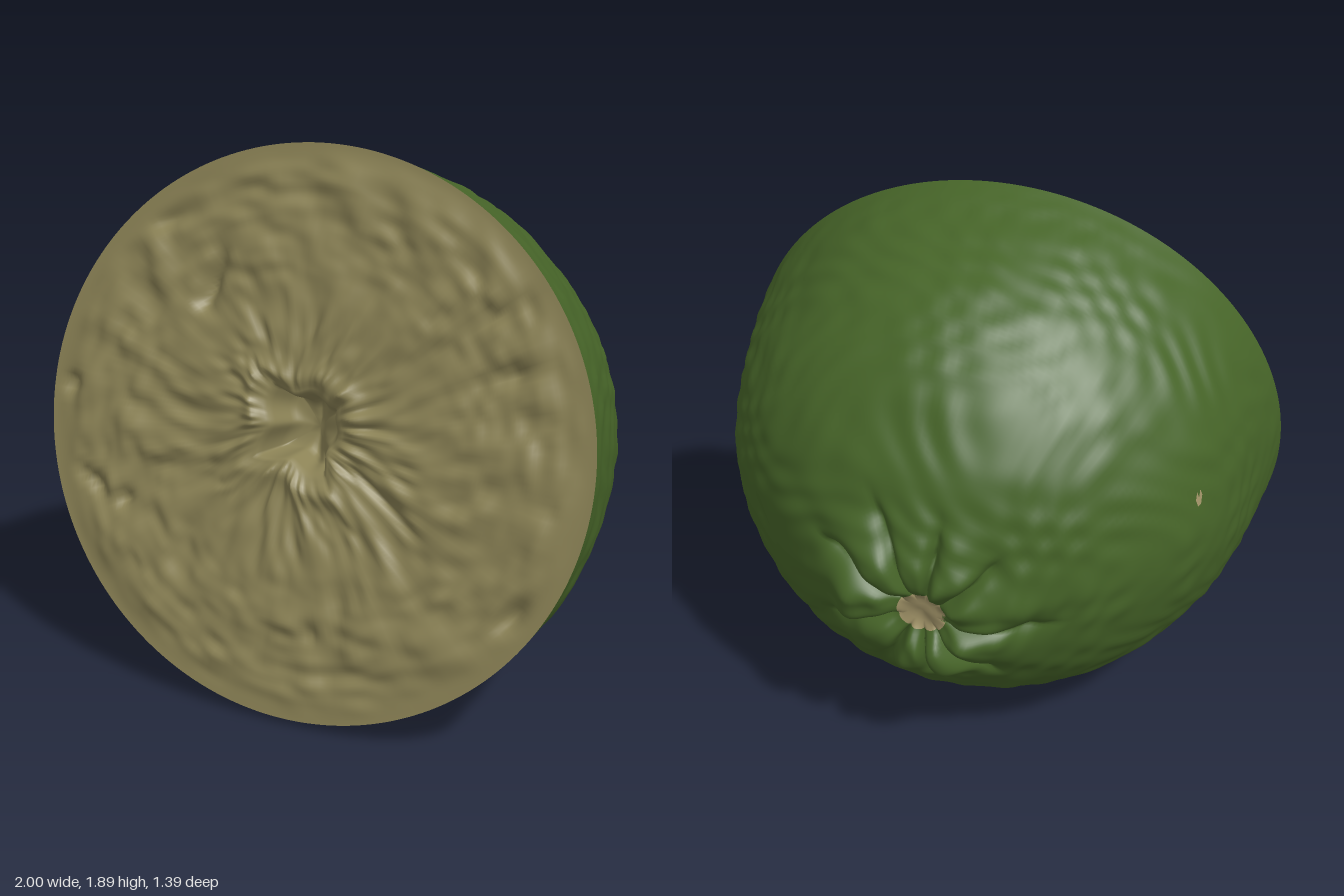
import * as THREE from 'three';
import { mergeVertices } from 'three/addons/utils/BufferGeometryUtils.js';

const SEGMENTS = 200;
const STRETCH = 1.046; // the fruit is slightly wider than tall

const peelMat = new THREE.MeshStandardMaterial({ color: 0x466428 });
peelMat.name = 'green peel';
const fleshMat = new THREE.MeshStandardMaterial({ color: 0x8c8356 });
fleshMat.name = 'tan flesh';
const scarMat = new THREE.MeshStandardMaterial({ color: 0xa39569 });
scarMat.name = 'pale scar';

const hash = (i, j) => {
  const s = Math.sin(i * 127.1 + j * 311.7) * 43758.5453;
  return s - Math.floor(s);
};
const smooth = (a, b, t) => THREE.MathUtils.smoothstep(t, a, b);

// Smooth value noise in -1..1, repeating every `period` cells along u
function noise(u, v, period) {
  const i = Math.floor(u), j = Math.floor(v);
  const fu = smooth(0, 1, u - i), fv = smooth(0, 1, v - j);
  const h = (a, b) => hash(((a % period) + period) % period, b);
  const low = h(i, j) * (1 - fu) + h(i + 1, j) * fu;
  const high = h(i, j + 1) * (1 - fu) + h(i + 1, j + 1) * fu;
  return 2 * (low * (1 - fv) + high * fv) - 1;
}

// Turns a profile into a welded solid of revolution and moves its vertices by a rule
function sculpt(profile, rule) {
  let geo = new THREE.LatheGeometry(profile, SEGMENTS);
  geo.deleteAttribute('uv');
  geo.deleteAttribute('normal');
  geo = mergeVertices(geo, 1e-5);
  const pos = geo.attributes.position;
  const p = new THREE.Vector3();
  for (let i = 0; i < pos.count; i++) {
    p.fromBufferAttribute(pos, i);
    rule(p, Math.hypot(p.x, p.z), Math.atan2(p.x, p.z));
    pos.setXYZ(i, p.x * STRETCH, p.y, p.z);
  }
  geo.computeVertexNormals();
  return geo;
}

const points = (list) => list.map(([x, y]) => new THREE.Vector2(x, y));

function createPeel() {
  const curve = new THREE.SplineCurve(points([
    [0, -1.1], [0.075, -1.115], [0.14, -1.155], [0.22, -1.15], [0.3, -1.1], [0.39, -1.05],
    [0.55, -0.945], [0.74, -0.735], [0.857, -0.51], [0.922, -0.235], [0.956, 0],
  ]));
  const geo = sculpt(curve.getSpacedPoints(100), (p, r, a) => {
    const inner = p.y < -0.8;
    const fade = smooth(0, 0.12, -p.y);
    // pebbled skin, pushed along the direction from the centre
    const { x, y, z } = p;
    const bump = Math.sin(23 * x + 4 * Math.sin(9 * y)) * Math.sin(25 * y + 3 * Math.sin(11 * z))
      * Math.sin(24 * z + 4 * Math.sin(8 * x));
    const swell = Math.sin(7 * x + 1) * Math.sin(6 * y) * Math.sin(7 * z + 2);
    p.multiplyScalar(1 + fade * (0.007 * bump + 0.008 * swell));
    // puckered folds around the stem end
    if (inner) {
      const lobe = Math.abs(Math.sin(4.5 * a + 0.7 * Math.sin(2 * a) + 1.2 * r));
      const reach = smooth(0.06, 0.15, r) * (1 - smooth(0.24, 0.46 + 0.06 * Math.sin(3 * a), r));
      p.y += reach * (0.06 * (1 - lobe) ** 2.5 - 0.016 * lobe);
      p.y += 0.02 * reach * noise(a * 9 / Math.PI, r * 12, 18);
    }
  });

  // separate the stem scar and the blemishes into their own face group
  const pos = geo.attributes.position, index = geo.index.array;
  const green = [], pale = [];
  const blemishes = [[-0.78, -0.585, -0.215, 0.05], [-0.8, -0.55, -0.16, 0.035], [0.2, -1.13, 0.03, 0.022]];
  const c = new THREE.Vector3(), v = new THREE.Vector3();
  for (let i = 0; i < index.length; i += 3) {
    const tri = [index[i], index[i + 1], index[i + 2]];
    c.set(0, 0, 0);
    tri.forEach((k) => c.add(v.fromBufferAttribute(pos, k)));
    c.divideScalar(3);
    const scar = c.y < -0.9 && Math.hypot(c.x, c.z) < 0.08;
    const spot = blemishes.some(([x, y, z, size]) => Math.hypot(c.x - x, c.y - y, c.z - z) < size);
    (scar || spot ? pale : green).push(...tri);
  }
  geo.setIndex([...green, ...pale]);
  geo.addGroup(0, green.length, 0);
  geo.addGroup(green.length, pale.length, 1);
  const mesh = new THREE.Mesh(geo, [peelMat, scarMat]);
  mesh.name = 'peel';
  return mesh;
}

function createFlesh() {
  // from the rim inward, then down into the hollow core
  const profile = [];
  for (let i = 0; i <= 70; i++) profile.push(new THREE.Vector2(0.956 - (0.836 * i) / 70, 0));
  profile.push(...points([
    [0.112, -0.02], [0.104, -0.06], [0.095, -0.1], [0.085, -0.13], [0.06, -0.14], [0.03, -0.145], [0, -0.145],
  ]));
  // torn spots: x, z, half length, half width, turn, depth
  const pits = [
    [-0.38, -0.46, 0.1, 0.03, 1.3, 0.05], [-0.88, -0.05, 0.035, 0.025, 0, 0.04],
    [-0.53, -0.66, 0.09, 0.03, 0.4, 0.035], [0.74, 0.45, 0.07, 0.035, 1, 0.045],
    [-0.78, 0.27, 0.06, 0.025, -0.5, 0.04], [-0.65, 0.32, 0.04, 0.025, 0.3, 0.035],
    [0.6, -0.48, 0.1, 0.02, 0.6, 0.03], [0.27, 0.15, 0.13, 0.015, -0.65, 0.03],
    [0.08, 0.65, 0.03, 0.04, 0, 0.03], [0.66, -0.3, 0.08, 0.02, 0.3, 0.03],
  ];
  const geo = sculpt(profile, (p, r, a) => {
    const field = smooth(0.12, 0.18, r) * (1 - smooth(0.82, 0.95, r));
    if (p.y === 0) {
      // radial pulp fibres with a rougher outer band
      const turn = a / (2 * Math.PI) + 0.5;
      const bend = 0.6 * Math.sin(9 * r + 3 * a);
      const fibres = 0.6 * noise(turn * 44 + bend, r * 5, 44) + 0.4 * noise(turn * 84 + bend, r * 11, 84);
      const rough = noise(turn * 60, r * 24, 60) * smooth(0.4, 0.7, r);
      p.y += field * (0.014 + 0.022 * fibres + 0.009 * rough);
      for (const [x, z, len, wide, angle, depth] of pits) {
        const dx = p.x - x, dz = p.z - z;
        const s = (dx * Math.cos(angle) - dz * Math.sin(angle)) / len;
        const t = (dx * Math.sin(angle) + dz * Math.cos(angle)) / wide;
        p.y -= depth * Math.exp(-s * s - t * t);
      }
      // raised lip around the core
      p.y += 0.025 * Math.exp(-(((r - 0.17) / 0.04) ** 2)) * (0.6 + 0.4 * Math.sin(3 * a + 1));
    }
    // squarish, ragged outline for the hollow core
    const near = 1 - smooth(0.12, 0.4, r);
    const square = 1 / Math.max(Math.abs(Math.cos(a + 0.15)), Math.abs(Math.sin(a + 0.15)));
    const k = 1 + near * (square - 1 + 0.12 * Math.sin(5 * a));
    p.x = p.x * k - 0.02 * near;
    p.z = p.z * k - 0.02 * near;
    // the core is shallower on one side
    if (r < 0.118) p.y *= 1 - 0.5 * smooth(-0.02, 0.05, p.x);
  });
  const mesh = new THREE.Mesh(geo, fleshMat);
  mesh.name = 'cutFlesh';
  return mesh;
}

export function createModel() {
  const model = new THREE.Group();
  model.name = 'halfCitrusFruit';
  // the cut face leans back, resting on the lower rim
  const fruit = new THREE.Group();
  fruit.name = 'fruit';
  fruit.add(createPeel(), createFlesh());
  fruit.rotation.x = 1.36;
  fruit.position.set(0, 0.975, 0.49);
  model.add(fruit);
  return model;
}
